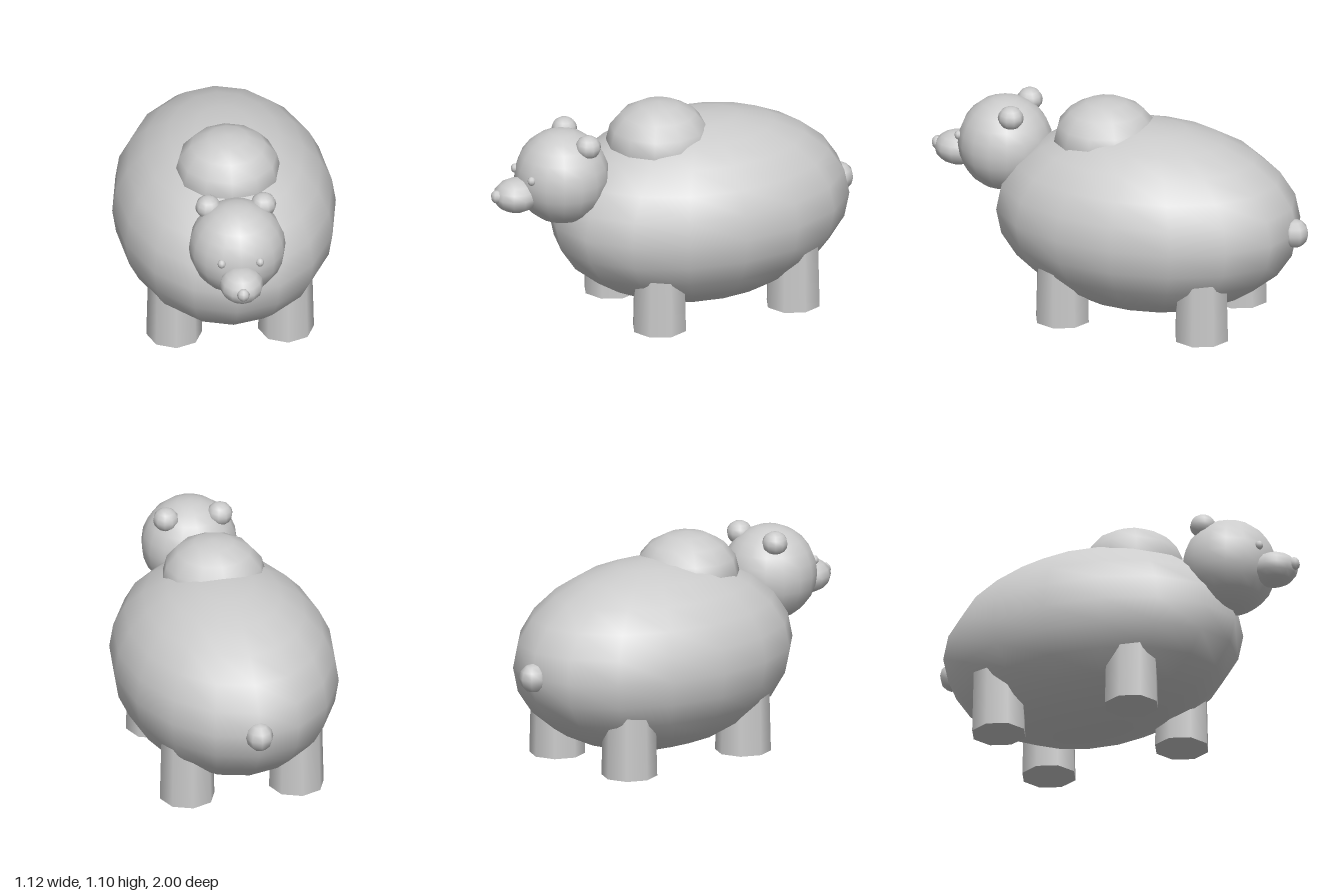
import * as THREE from 'three';

const material = new THREE.MeshStandardMaterial({ color: 0xcccccc });

export function createModel() {
  const bear = new THREE.Group();
  bear.name = 'bear';

  const add = (name, geometry, position) => {
    const mesh = new THREE.Mesh(geometry, material);
    mesh.name = name;
    mesh.position.set(...position);
    bear.add(mesh);
  };

  // Ellipsoid with its poles along y
  const ellipsoid = (name, position, radii, across, down) => {
    const geometry = new THREE.SphereGeometry(1, across, down).scale(...radii);
    add(name, geometry, position);
  };

  // Trunk, shoulder hump and tail
  ellipsoid('body', [0, 0.51, -0.15], [0.56, 0.48, 0.79], 16, 12);
  ellipsoid('shoulderHump', [0, 0.885, 0.073], [0.265, 0.21, 0.265], 12, 8);
  ellipsoid('tail', [0, 0.51, -0.93], [0.07, 0.073, 0.07], 8, 6);

  // Head and face
  ellipsoid('head', [0, 0.792, 0.61], [0.242, 0.242, 0.237], 16, 12);
  ellipsoid('muzzle', [0, 0.73, 0.86], [0.11, 0.087, 0.12], 12, 8);
  ellipsoid('nose', [0, 0.74, 0.97], [0.032, 0.034, 0.03], 8, 6);

  // Paired features and the four tapered, eight-sided legs
  for (const [side, s] of [['left', 1], ['right', -1]]) {
    ellipsoid(side + 'Ear', [s * 0.138, 0.98, 0.53], [0.065, 0.06, 0.065], 10, 8);
    ellipsoid(side + 'Eye', [s * 0.096, 0.833, 0.823], [0.021, 0.023, 0.021], 8, 6);
    for (const [end, z] of [['Front', 0.203], ['Back', -0.537]]) {
      add(side + end + 'Leg', new THREE.CylinderGeometry(0.13, 0.14, 0.4, 8), [s * 0.28, 0.2, z]);
    }
  }

  return bear;
}
